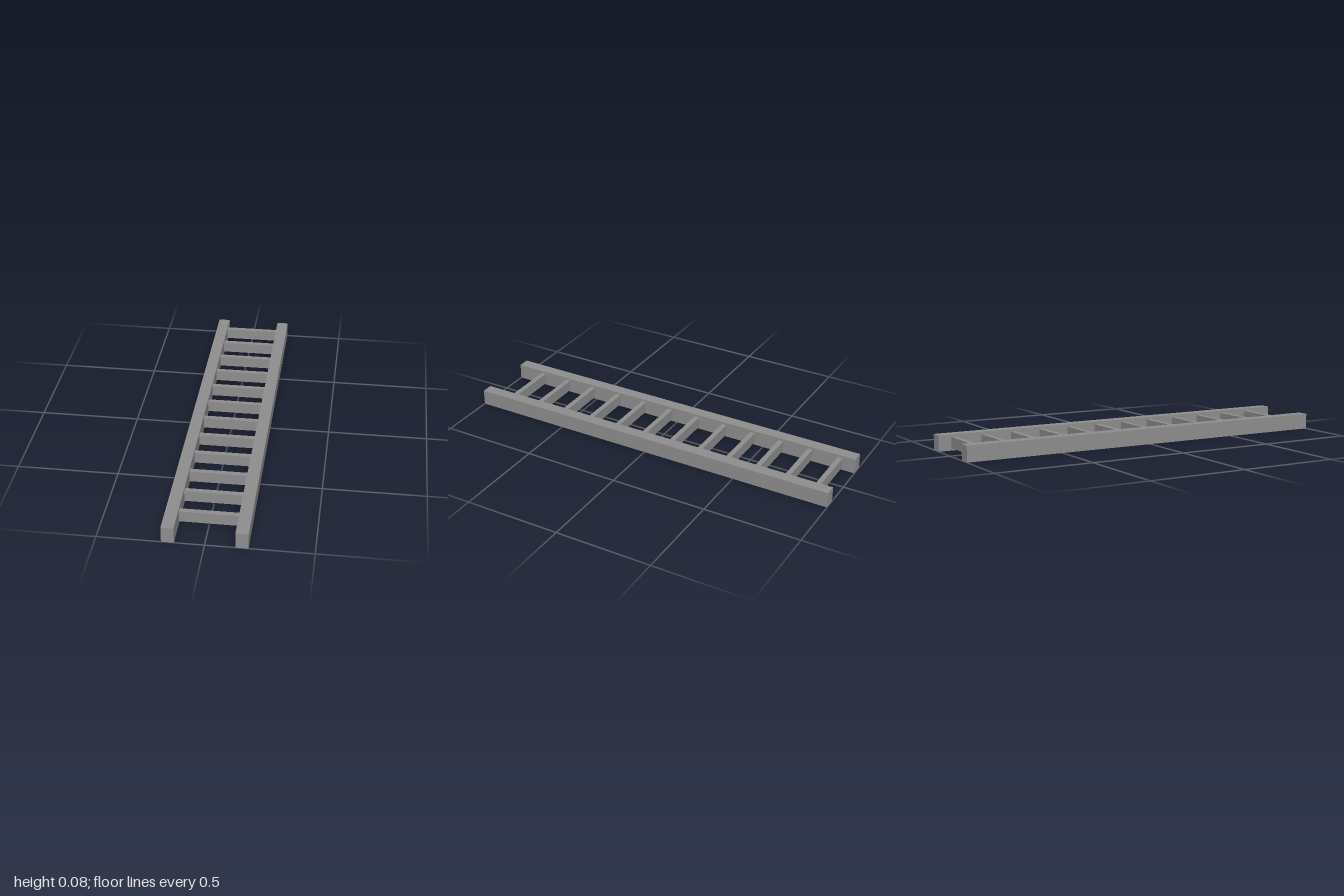
import * as THREE from 'three';

export function createModel() {
  const model = new THREE.Group();
  model.name = 'ladder';
  const metal = new THREE.MeshStandardMaterial({ color: 0x8f8f8f });
  metal.name = 'grey metal';

  const addBox = (name, size, position) => {
    const mesh = new THREE.Mesh(new THREE.BoxGeometry(...size), metal);
    mesh.name = name;
    mesh.position.set(...position);
    model.add(mesh);
  };

  // Two long side rails
  for (const side of [-1, 1]) {
    addBox(side > 0 ? 'leftRail' : 'rightRail', [0.06, 0.08, 2], [side * 0.17, 0.04, 0]);
  }

  // Twelve evenly spaced rungs between the rails
  const rungCount = 12, firstZ = -0.92, spacing = 0.1602;
  for (let i = 0; i < rungCount; i++) {
    addBox(`rung${i + 1}`, [0.28, 0.056, 0.026], [0, 0.04, firstZ + i * spacing]);
  }

  return model;
}
